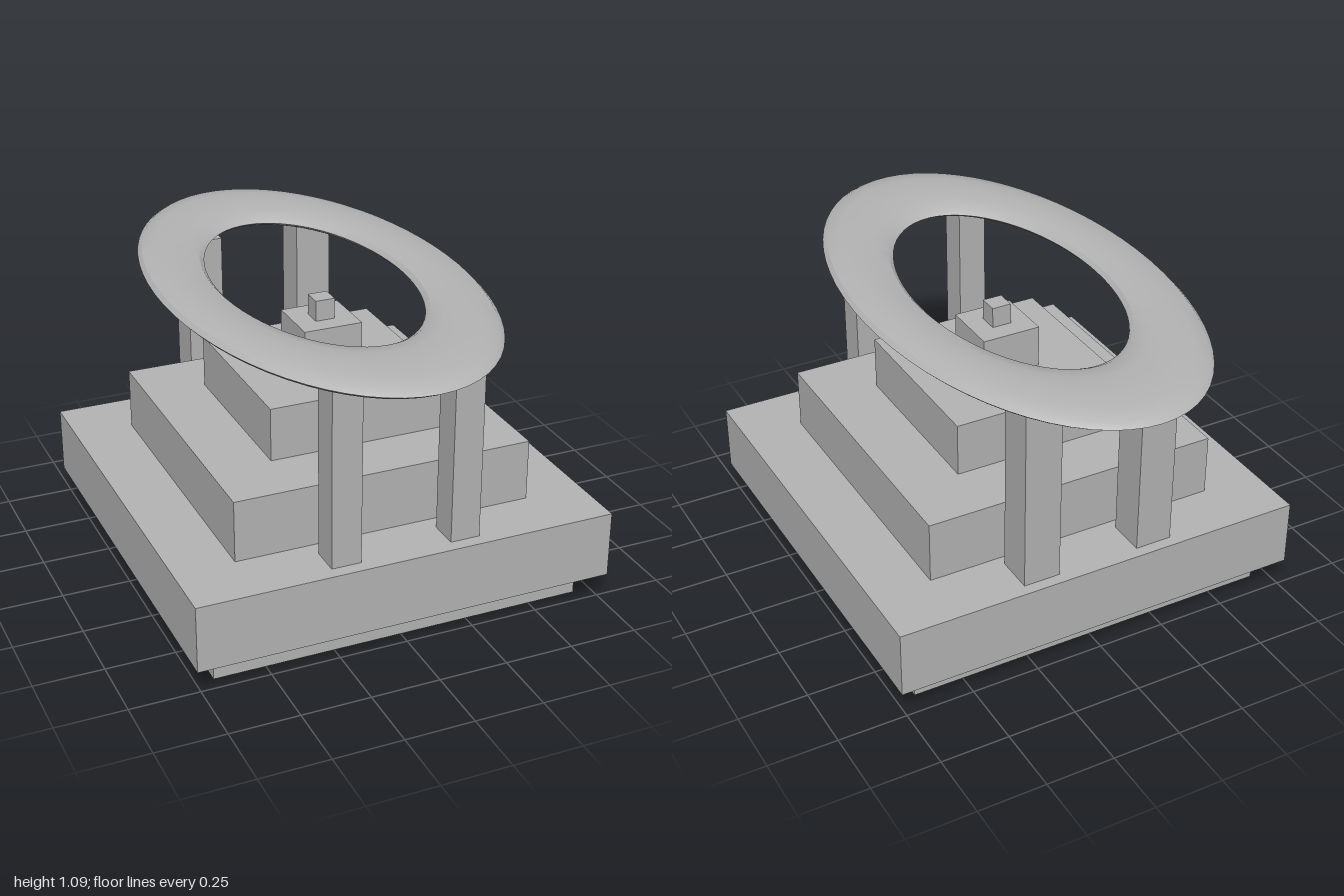
import * as THREE from 'three';
import { toCreasedNormals } from 'three/addons/utils/BufferGeometryUtils.js';

export function createModel() {
  const model = new THREE.Group();
  model.name = 'steppedMonument';
  const stone = new THREE.MeshStandardMaterial({ color: 0xb4b4b4 });
  stone.name = 'grey stone';

  const add = (name, geometry, x, y, z) => {
    const mesh = new THREE.Mesh(geometry, stone);
    mesh.name = name;
    mesh.position.set(x, y, z);
    model.add(mesh);
    return mesh;
  };
  // Box given by its bottom and top heights
  const block = (name, w, d, y0, y1, x, z) =>
    add(name, new THREE.BoxGeometry(w, y1 - y0, d), x, (y0 + y1) / 2, z);

  // Square tiers, from the ground up: name, width, bottom, top
  const cx = -0.002, cz = 0.014;
  const tiers = [
    ['plinth', 1.37, 0, 0.09],
    ['baseSlab', 1.537, 0.1, 0.345],
    ['lowerStep', 1.1, 0.345, 0.57],
    ['middleStep', 0.657, 0.345, 0.765],
    ['upperStep', 0.218, 0.765, 0.92],
    ['capStone', 0.072, 0.92, 0.996],
  ];
  for (const [name, w, y0, y1] of tiers) block(name, w, w, y0, y1, cx, cz);

  // Shallow sloped underside between plinth and slab
  const slope = new THREE.CylinderGeometry(1.537 / Math.SQRT2, 1.37 / Math.SQRT2, 0.01, 4)
    .rotateY(Math.PI / 4).toNonIndexed();
  slope.computeVertexNormals();
  add('slabUnderside', slope, cx, 0.095, cz);

  // Columns: a slimmer pair in front, a thicker pair behind
  for (const side of [-1, 1]) {
    block('frontColumn', 0.108, 0.112, 0.345, 1.03, side * 0.22 - 0.002, 0.678);
    block('backColumn', 0.135, 0.139, 0.345, 1.03, side * 0.22 - 0.002, -0.643);
  }

  // Flattened oval ring resting on the columns
  const ring = new THREE.TorusGeometry(0.803, 0.197, 12, 64)
    .rotateX(Math.PI / 2).scale(0.545, 0.03 / 0.197, 1);
  add('ovalRing', toCreasedNormals(ring, 0.5), -0.035, 1.055, 0);

  return model;
}
